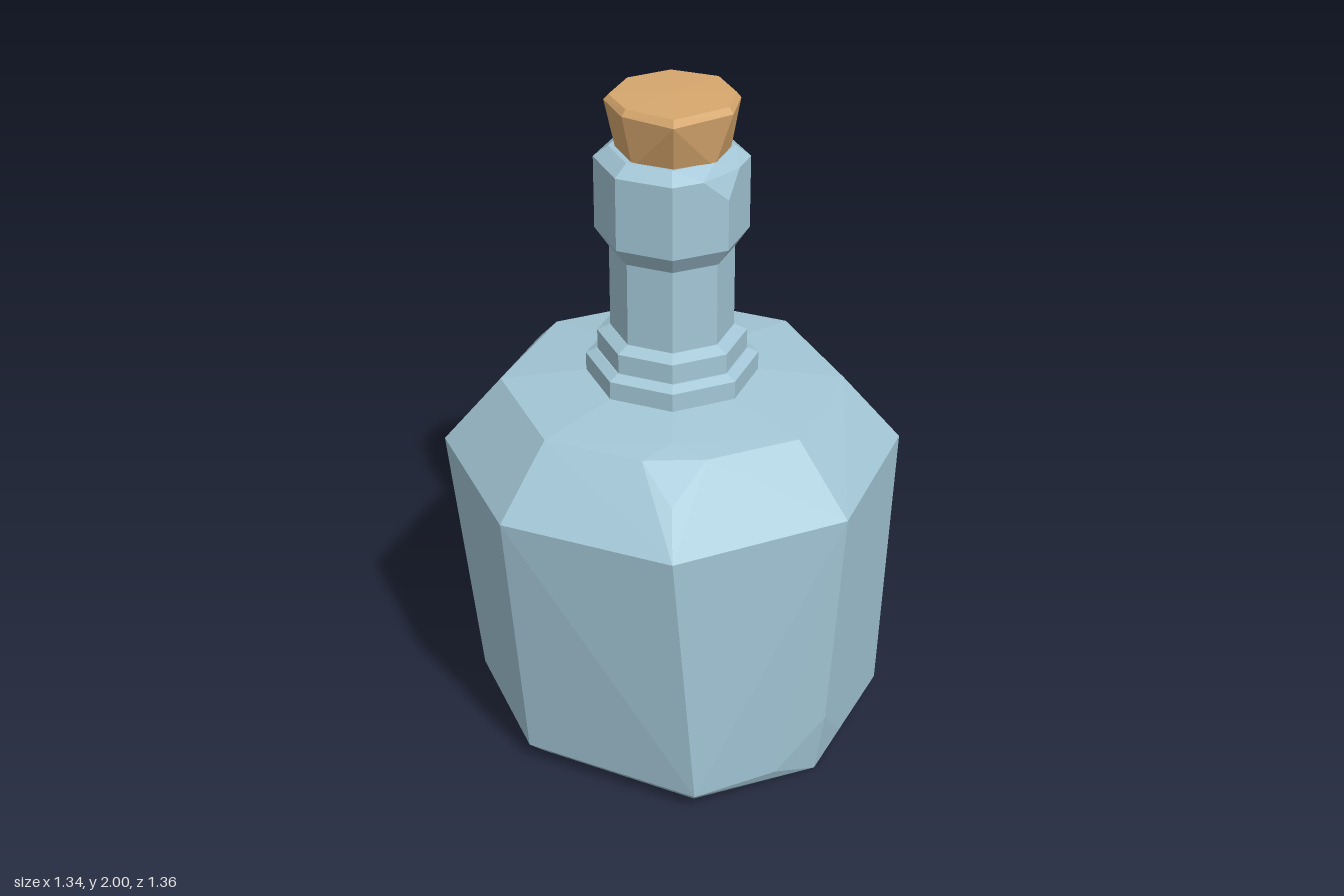
import * as THREE from 'three';
import { ConvexGeometry } from 'three/addons/geometries/ConvexGeometry.js';

const glass = new THREE.MeshStandardMaterial({ color: 0xa3c6d6 });
glass.name = 'blue glass';
const cork = new THREE.MeshStandardMaterial({ color: 0xd8a86e });
cork.name = 'cork';

const CX = -0.017; // the neck axis sits slightly off centre

// Eight-sided ring; corner 0 faces +x, corner 2 faces +z. Corners in skip are left out for chips.
function ring(y, r, cx = CX, skip = []) {
  const points = [];
  for (let i = 0; i < 8; i++) {
    if (skip.includes(i)) continue;
    const a = (i * Math.PI) / 4;
    points.push([cx + r * Math.cos(a), y, r * Math.sin(a)]);
  }
  return points;
}

// Level outline from [x, z] corners
const level = (y, corners) => corners.map(([x, z]) => [x, y, z]);

// Faceted solid around a set of points, so every chip is a clean planar cut
function solid(name, points, material) {
  const geometry = new ConvexGeometry(points.map((p) => new THREE.Vector3(...p)));
  const mesh = new THREE.Mesh(geometry, material);
  mesh.name = name;
  return mesh;
}

export function createModel() {
  const group = new THREE.Group();
  group.name = 'corkedBottle';

  // Body: base, bevel, widest ring and shoulder
  const base = [[0.47, 0.4], [-0.05, 0.578], [-0.46, 0.4], [-0.62, 0], [-0.46, -0.41], [-0.02, -0.59], [0.47, -0.41]];
  const body = [
    ...level(0.01, base.map(([x, z]) => [x * 0.92, z * 0.91])),
    ...level(0.06, base),
    ...level(0.91, [[0.46, 0.48], [-0.02, 0.675], [-0.49, 0.48], [-0.49, -0.475], [-0.02, -0.68], [0.46, -0.475]]),
    [0.667, 0.925, 0],
    ...level(1.11, [[0.48, 0], [-0.02, 0.5], [-0.37, 0.355], [-0.515, 0], [-0.37, -0.355], [-0.02, -0.497], [0.335, -0.355]]),
    ...ring(1.14, 0.25),
    // chip at the lower right corner
    [0.617, 0.21, 0], [0.56, 0.06, 0.15], [0.583, 0, 0], [0.56, 0.055, -0.14],
    // chip at the left shoulder
    [-0.67, 0.8, 0], [-0.63, 0.91, 0.145], [-0.63, 0.91, -0.135], [-0.595, 1.03, 0],
    // chip at the front shoulder
    [0.25, 1.11, 0.387], [0.38, 1.02, 0.402], [0.373, 1.11, 0.257], [0.26, 1.125, 0.28],
  ];
  group.add(solid('body', body, glass));

  // Neck: stepped collar, shaft and lip
  group.add(solid('collarFoot', [...ring(1.12, 0.25), ...ring(1.195, 0.25), ...ring(1.21, 0.22)], glass));
  group.add(solid('collar', [
    ...ring(1.2, 0.216), ...ring(1.27, 0.216, CX, [4]), ...ring(1.288, 0.18),
    [-0.232, 1.235, 0], [-0.213, 1.272, 0.05], [-0.213, 1.272, -0.05],
  ], glass));
  group.add(solid('neck', [...ring(1.27, 0.178), ...ring(1.56, 0.178)], glass));
  group.add(solid('lip', [
    ...ring(1.54, 0.18), ...ring(1.595, 0.218), ...ring(1.81, 0.218, CX, [0]), ...ring(1.842, 0.175, CX, [0]),
    [0.201, 1.745, 0], [0.172, 1.81, 0.07], [0.172, 1.81, -0.07], [0.147, 1.842, 0],
  ], glass));

  // Cork: flared, with a slightly uneven top
  const rim = [[0.18, -0.035], [0.138, 0.15], [-0.02, 0.187], [-0.145, 0.135], [-0.205, 0], [-0.162, -0.14], [-0.02, -0.2], [0.11, -0.14]];
  group.add(solid('stopper', [
    ...ring(1.825, 0.157, -0.012),
    ...level(1.978, rim),
    ...rim.map(([x, z]) => [x * 0.93, 1.994 + (x + z) * 0.015, z * 0.93]),
    [-0.01, 2, 0],
  ], cork));

  return group;
}
